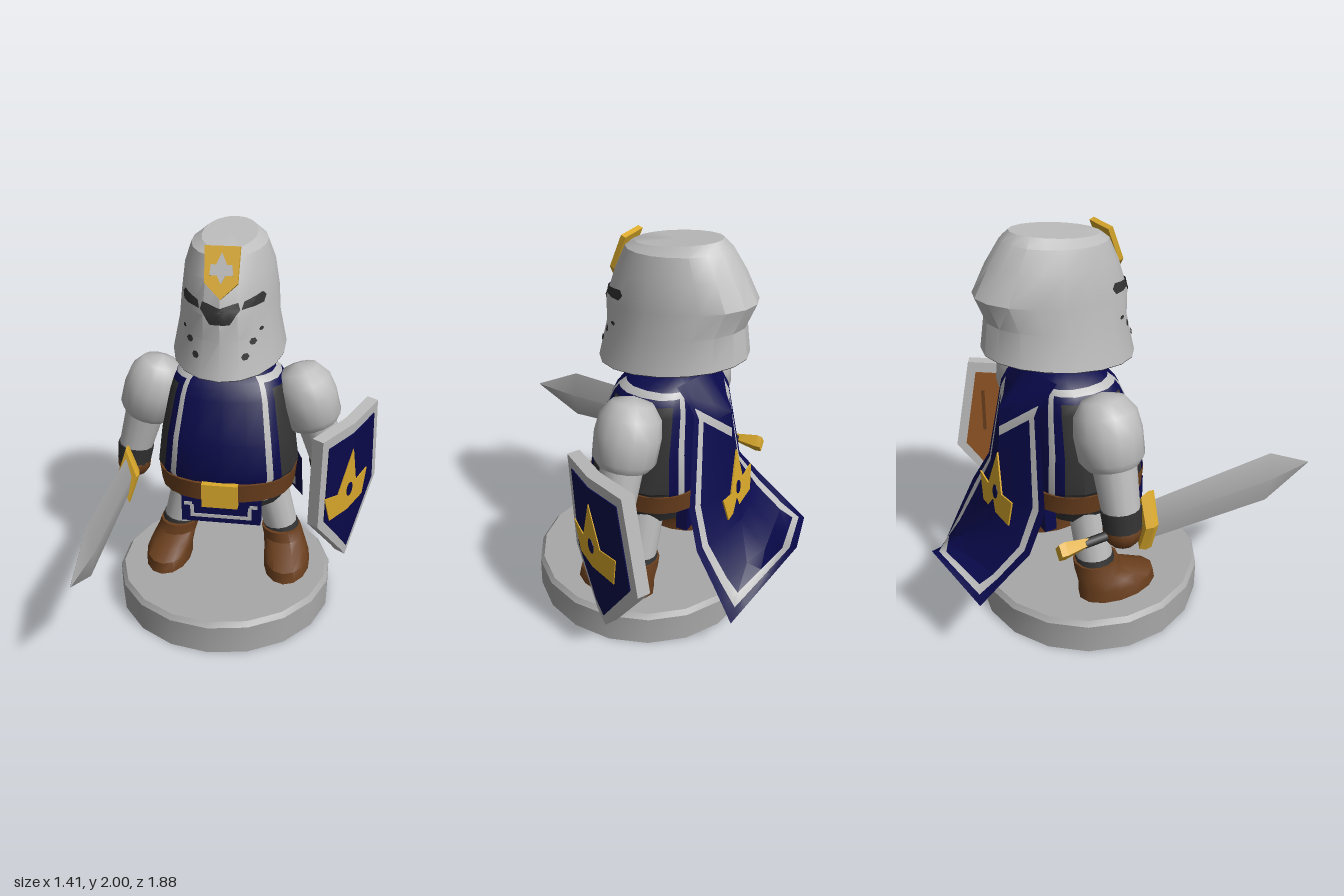
import * as THREE from 'three';
import { toCreasedNormals } from 'three/addons/utils/BufferGeometryUtils.js';

const CX = -0.085; // centre line of the figure
const V = (x, y, z) => new THREE.Vector3(x, y, z);

function paint(name, color) {
  const m = new THREE.MeshStandardMaterial({ color, side: THREE.DoubleSide });
  m.name = name;
  return m;
}

// Skin rings of points; pick(row, column) returns a material index per cell.
function loft(rings, { closed = true, caps = true, pick = () => 0, crease = 0.6 } = {}) {
  const n = rings[0].length, pos = [], byMat = [];
  const put = (m, ...ids) => (byMat[m] ??= []).push(...ids);
  rings.flat().forEach((p) => pos.push(p.x, p.y, p.z));
  for (let i = 0; i < rings.length - 1; i++) {
    for (let j = 0; j < (closed ? n : n - 1); j++) {
      const k = (j + 1) % n, a = i * n + j, b = i * n + k, c = a + n, d = b + n;
      put(pick(i, j), a, b, d, a, d, c);
    }
  }
  if (closed && caps) {
    [[0, true], [rings.length - 1, false]].forEach(([r, down]) => {
      const c = rings[r].reduce((s, p) => s.add(p), V(0, 0, 0)).divideScalar(n);
      const id = pos.length / 3;
      pos.push(c.x, c.y, c.z);
      for (let j = 0; j < n; j++) {
        const a = r * n + j, b = r * n + (j + 1) % n;
        put(pick(r, j), id, down ? b : a, down ? a : b);
      }
    });
  }
  const g = new THREE.BufferGeometry();
  g.setAttribute('position', new THREE.Float32BufferAttribute(pos, 3));
  const index = [];
  byMat.forEach((list, m) => { g.addGroup(index.length, list.length, m); index.push(...list); });
  g.setIndex(index);
  return toCreasedNormals(g, crease);
}

// Oval ring at height y, angles from the front towards +x; power below 1 makes it boxier.
const evenAngles = (n) => Array.from({ length: n }, (_, i) => (i / n) * 360);
const oval = (angles, cx, y, cz, rx, rz, tilt = 0, power = 1) => angles.map((d) => {
  const t = THREE.MathUtils.degToRad(d), bend = (v) => Math.sign(v) * Math.abs(v) ** power;
  return V(cx + rx * bend(Math.sin(t)), y + tilt * Math.cos(t), cz + rz * bend(Math.cos(t)));
});

const polygon = (pts) => new THREE.Shape(pts.map(([x, y]) => new THREE.Vector2(x, y)));
const plate = (shape, depth) => new THREE.ExtrudeGeometry(shape, { depth, bevelEnabled: false, curveSegments: 6 });
const scaled = (pts, kx, ky, cx = 0, cy = 0) => pts.map(([x, y]) => [cx + (x - cx) * kx, cy + (y - cy) * ky]);
const CROWN = [[-0.14, -0.135], [0.165, -0.115], [0.19, 0.04], [0.07, 0.02], [0, 0.24], [-0.09, 0], [-0.195, 0.02]];
const gem = (k) => new THREE.Shape().absellipse(0, 0, 0.027 * k, 0.042 * k, 0, Math.PI * 2);

// Part of a polygon on one side of x = 0
const halfOf = (pts, s) => pts.flatMap(([x, y], i) => {
  const [u, v] = pts[(i + 1) % pts.length], out = x * s >= 0 ? [[x, y]] : [];
  if (x * u < 0) out.push([0, y + (v - y) * x / (x - u)]);
  return out;
});

export function createModel() {
  const model = new THREE.Group();
  model.name = 'knightFigure';
  const steel = paint('steel', 0xbcbcbc), stone = paint('stone', 0xa8a8a8), navy = paint('navy', 0x09094c),
    gold = paint('gold', 0xdbaa2c), leather = paint('leather', 0x693e1d), wood = paint('wood', 0x8f5424),
    mail = paint('darkMail', 0x333333);

  const add = (name, geo, mat, parent = model) => {
    const m = new THREE.Mesh(geo, mat);
    m.name = name;
    parent.add(m);
    return m;
  };
  const box = (name, mat, w, h, d, x, y, z, parent) => {
    const m = add(name, new THREE.BoxGeometry(w, h, d), mat, parent);
    m.position.set(x, y, z);
    return m;
  };
  // Tapered cylinder from p (radius r1) up to q (radius r2)
  const rod = (name, mat, p, q, r1, r2, sides = 14) => {
    const m = add(name, new THREE.CylinderGeometry(r2, r1, p.distanceTo(q), sides), mat);
    m.position.copy(p).lerp(q, 0.5);
    m.quaternion.setFromUnitVectors(V(0, 1, 0), q.clone().sub(p).normalize());
    return m;
  };

  // Base disc
  const a18 = evenAngles(18);
  add('base', loft([[0, 0.58], [0.155, 0.58], [0.18, 0.56]].map(([y, r]) => oval(a18, -0.097, y, -0.08, r, r))), stone);

  // Torso: mail sides under a navy tabard whose pale stripes run over the shoulders
  const quarter = [0, 17, 34, 41, 51, 70];
  const half = [...quarter, 90, ...quarter.slice(1).reverse().map((a) => 180 - a)];
  const angles = [...half, ...half.map((a) => a + 180)];
  const kinds = [0, 0, 1, 0, 2, 2, 2, 2, 0, 1, 0, 0];
  const tabard = (row, col) => {
    if (row < 5) return kinds[col];
    if (row === 5) return kinds[col] % 2;
    return row === 6 && col > 1 && col < 10 ? 1 : 0;
  };
  const torso = [[0.67, 0.33, 0.28, -0.16], [0.785, 0.355, 0.3, -0.16], [0.81, 0.37, 0.305, -0.16], [1.0, 0.345, 0.285, -0.16],
    [1.2, 0.305, 0.235, -0.19], [1.25, 0.288, 0.218, -0.195], [1.28, 0.27, 0.2, -0.2], [1.305, 0.238, 0.18, -0.21],
    [1.33, 0.2, 0.16, -0.22], [1.36, 0.13, 0.11, -0.22]];
  add('torso', loft(torso.map(([y, rx, rz, cz]) => oval(angles, CX, y, cz, rx, rz, 0, 0.78)),
    { pick: (i, j) => tabard(i, j % 12) }), [navy, steel, mail]);
  add('mailSkirt', loft([[0.58, 0.29, 0.22], [0.69, 0.335, 0.275]].map(([y, rx, rz]) => oval(a18, CX, y, -0.17, rx, rz))), mail);

  // Belt and buckle
  add('belt', loft([[0.69, 0.355, 0.312], [0.79, 0.366, 0.32]].map(([y, rx, rz]) =>
    oval(evenAngles(24), CX, y, -0.16, rx, rz, 0, 0.82))), leather);
  box('buckle', gold, 0.185, 0.13, 0.04, CX, 0.728, 0.152);

  // Hanging tabard flaps, the front one with a pale trim
  box('backFlap', navy, 0.41, 0.14, 0.06, CX, 0.62, -0.4);
  box('frontFlap', navy, 0.41, 0.14, 0.06, CX, 0.62, 0.1);
  box('flapTrim', steel, 0.3, 0.018, 0.006, CX, 0.588, 0.132);
  [-1, 1].forEach((k) => {
    box('flapTrim', steel, 0.018, 0.07, 0.006, CX + k * 0.15, 0.614, 0.132);
    box('flapTrim', steel, 0.04, 0.018, 0.006, CX + k * 0.17, 0.655, 0.132);
  });

  // Legs, boots and arms on both sides
  const a14 = evenAngles(14);
  const shoulder = [[0.12, -0.18], [0.152, -0.14], [0.158, -0.02], [0.145, 0.07], [0.1, 0.135], [0, 0.165]];
  [-1, 1].forEach((s) => {
    const side = s > 0 ? 'left' : 'right';
    const P = (x, y, z = -0.2) => V(CX + s * x, y, z);
    rod(side + 'Leg', steel, P(0.285, 0.36), P(0.2, 0.68), 0.09, 0.1);
    rod(side + 'BootCuff', mail, P(0.285, 0.355), P(0.281, 0.382), 0.1, 0.096);
    const boot = [[0.18, 0.33, 0.125, -0.095, 0.215], [0.24, 0.327, 0.122, -0.1, 0.21], [0.275, 0.315, 0.115, -0.145, 0.165],
      [0.31, 0.3, 0.11, -0.19, 0.12], [0.365, 0.285, 0.107, -0.195, 0.115]];
    add(side + 'Boot', loft(boot.map(([y, x, rx, z, rz]) => oval(a14, CX + s * x, y, z, rx, rz)), { crease: 0.9 }), leather);

    const pad = add(side + 'ShoulderPlate',
      toCreasedNormals(new THREE.LatheGeometry(shoulder.map(([r, y]) => new THREE.Vector2(r, y)), 14), 0.9), steel);
    pad.position.copy(P(0.395, 1.17));
    pad.rotation.z = s * 0.3;
    rod(side + 'Arm', steel, P(0.52, 0.8), P(0.425, 1.12), 0.09, 0.11);
    rod(side + 'Cuff', mail, P(0.535, 0.71), P(0.518, 0.81), 0.09, 0.097);
    const hand = add(side + 'Hand', new THREE.SphereGeometry(0.092, 12, 8), leather);
    hand.position.copy(P(0.535, 0.7));
  });

  // Neck and tilted helmet: front z, front y, back z, back y, half width
  rod('neck', mail, V(CX, 1.32, -0.21), V(CX, 1.46, -0.22), 0.13, 0.19);
  const shell = [[0.15, 1.355, -0.6, 1.46, 0.285], [0.11, 1.54, -0.58, 1.61, 0.25], [0.115, 1.66, -0.63, 1.735, 0.24],
    [0.065, 1.82, -0.56, 1.86, 0.22], [0.02, 1.92, -0.49, 1.96, 0.185], [-0.02, 1.945, -0.45, 2.0, 0.135]];
  const helmet = add('helmet', loft(shell.map(([fz, fy, bz, by, w]) =>
    oval(a18, CX, (fy + by) / 2, (fz + bz) / 2, w, (fz - bz) / 2, (fy - by) / 2)), { crease: 0.45 }), steel);
  add('helmetUnderside', loft([oval(a18, CX, 1.335, -0.21, 0.13, 0.13), oval(a18, CX, 1.404, -0.225, 0.284, 0.374, -0.0525)],
    { caps: false }), mail);

  // Thin dark faces laid onto the helmet front
  const caster = new THREE.Raycaster();
  const onHelmet = (x, y) => {
    caster.set(V(CX + x, y, 2), V(0, 0, -1));
    const hit = caster.intersectObject(helmet)[0];
    return hit.point.addScaledVector(hit.face.normal, 0.008);
  };
  const decal = (name, pts) => {
    const [cx, cy] = [0, 1].map((k) => pts.reduce((t, p) => t + p[k], 0) / pts.length);
    const fine = pts.flatMap(([x, y], i) => {
      const [u, v] = pts[(i + 1) % pts.length];
      return [0, 0.33, 0.67].map((t) => [x + (u - x) * t, y + (v - y) * t]);
    });
    add(name, loft([1, 0.66, 0.33, 0.02].map((k) => scaled(fine, k, k, cx, cy).map(([x, y]) => onHelmet(x, y))),
      { caps: false }), mail);
  };
  decal('visorGap', [[-0.045, 1.625], [0.045, 1.625], [0.09, 1.69], [0.08, 1.725], [0, 1.7], [-0.08, 1.725], [-0.09, 1.69]]);
  [-1, 1].forEach((s) => {
    const flip = (pts) => (s > 0 ? pts : pts.map(([x, y]) => [-x, y]).reverse());
    decal('eyeSlit', flip([[0.095, 1.69], [0.185, 1.7], [0.193, 1.73], [0.178, 1.75], [0.105, 1.725]]));
    [[0.147, 1.53, 0.017], [0.115, 1.465, 0.018], [0.178, 1.58, 0.01]].forEach(([x, y, r]) =>
      decal('breathHole', flip(evenAngles(6).map((d) => {
        const t = THREE.MathUtils.degToRad(d);
        return [x + r * Math.cos(t), y + r * Math.sin(t)];
      }))));
  });

  // Gold brow badge with a small pale ornament
  const badge = new THREE.Group();
  badge.name = 'browBadge';
  badge.position.set(-0.082, 1.855, 0.03);
  badge.rotation.x = -0.37;
  model.add(badge);
  add('badgePlate', plate(polygon([[0, -0.13], [0.078, -0.055], [0.083, 0.115], [-0.083, 0.115], [-0.078, -0.055]]), 0.025), gold, badge);
  add('badgeOrnament', plate(polygon([[0, -0.06], [0.02, -0.02], [0.055, -0.02], [0.05, 0.03], [0.025, 0.03], [0, 0.085],
    [-0.025, 0.03], [-0.05, 0.03], [-0.055, -0.02], [-0.02, -0.02]]), 0.005), steel, badge).position.z = 0.025;

  // Cape: left, middle and right points of each row, from the collar fold down
  const rows = [
    [V(-0.27, 1.33, -0.34), V(CX, 1.34, -0.4), V(0.1, 1.33, -0.34)],
    [V(-0.275, 1.3, -0.37), V(CX, 1.17, -0.55), V(0.105, 1.3, -0.37)],
    [V(-0.28, 1.26, -0.41), V(CX, 1.08, -0.552), V(0.11, 1.26, -0.41)],
    [V(-0.285, 1.21, -0.44), V(CX, 1.03, -0.556), V(0.115, 1.21, -0.44)],
    [V(-0.4, 0.75, -0.485), V(CX, 0.75, -0.59), V(0.22, 0.75, -0.485)],
    [V(-0.46, 0.6, -0.6), V(CX, 0.56, -0.64), V(0.28, 0.58, -0.56)],
    [V(-0.46, 0.5, -0.74), V(CX, 0.43, -0.78), V(0.28, 0.4, -0.66)],
    [V(-0.46, 0.41, -0.86), V(CX, 0.5, -0.94), V(0.28, 0.21, -0.76)]];
  const blend = (t) => rows[6].map((p, i) => p.clone().lerp(rows[7][i], t));
  rows.splice(7, 0, blend(0.55), blend(0.78));
  const cols = [-1, -0.88, -0.76, -0.37, 0, 0.37, 0.76, 0.88, 1];
  const cape = rows.map(([l, m, r]) => cols.map((c) => m.clone().lerp(c < 0 ? l : r, Math.abs(c))));
  const capeStripe = (i, j) => (i === 2 || i === 7 ? j > 0 && j < 7 : i > 2 && i < 7 && (j === 1 || j === 6));
  add('cape', loft(cape, { closed: false, pick: (i, j) => (capeStripe(i, j) ? 1 : 0) }), [navy, steel]);
  const capeBadge = new THREE.Group();
  capeBadge.name = 'capeBadge';
  capeBadge.position.set(-0.105, 0.74, -0.593);
  capeBadge.lookAt(-0.105, 0.84, -1.593);
  model.add(capeBadge);
  add('capeCrown', plate(polygon(scaled(CROWN, 0.92, 0.9)), 0.008), gold, capeBadge);
  add('capeCrownGem', plate(gem(0.9), 0.003), navy, capeBadge).position.z = 0.008;

  // Shield bent along its middle: pale rim, navy front with crown, wooden back
  const shield = new THREE.Group();
  shield.name = 'shield';
  shield.position.set(0.555, 0.65, -0.144);
  shield.rotation.set(0.05, 1.035, 0, 'YXZ');
  model.add(shield);
  const shieldPart = (name, pts, depth, mat, z) => [-1, 1].forEach((s) => {
    const g = plate(polygon(halfOf(pts, s)), depth), p = g.attributes.position;
    for (let i = 0; i < p.count; i++) p.setZ(i, p.getZ(i) + z - 0.1 * Math.abs(p.getX(i)));
    g.computeVertexNormals();
    add(name, g, mat, shield);
  });
  const outline = [[0.06, -0.47], [0.35, -0.08], [0.26, 0.42], [-0.25, 0.37], [-0.23, -0.15]];
  const inset = scaled(outline, 0.83, 0.86, 0.04, -0.01);
  shieldPart('shieldRim', outline, 0.065, steel, -0.065);
  shieldPart('shieldFront', inset, 0.005, navy, 0);
  shieldPart('shieldCrown', scaled(CROWN, 1.05, 1.02), 0.005, gold, 0.005);
  shieldPart('shieldBack', inset, 0.005, wood, -0.07);
  add('shieldGem', plate(gem(1), 0.003), navy, shield).position.z = 0.009;
  [[-0.1, 0.15, 0.2], [0.07, -0.15, 0.22], [0.19, 0.13, 0.24], [-0.02, 0.25, 0.1], [0.12, 0.02, 0.1], [-0.07, -0.12, 0.1]]
    .forEach(([x, y, h]) => box('plankGap', leather, 0.018, h, 0.006, x, y, -0.071 - 0.1 * Math.abs(x), shield));

  // Sword pointing forward: diamond cross-sections along z
  const SX = -0.617, SY = 0.69;
  const diamonds = (list, crease) => loft(list.map(([z, w, h]) =>
    [V(SX + w, SY, z), V(SX, SY + h, z), V(SX - w, SY, z), V(SX, SY - h, z)]), { crease });
  add('swordBlade', diamonds([[-0.05, 0.022, 0.11], [0.67, 0.03, 0.14], [0.94, 0.002, 0.003]], 0.6), stone);
  add('swordGuard', diamonds([[-0.1, 0.05, 0.15], [-0.06, 0.06, 0.17], [-0.03, 0.05, 0.165]], 0.2), gold);
  rod('swordGrip', mail, V(SX, SY, -0.4), V(SX, SY, -0.08), 0.022, 0.022, 8);
  add('swordPommel', diamonds([[-0.53, 0.034, 0.045], [-0.5, 0.036, 0.05], [-0.38, 0.02, 0.025]], 0.2), gold);

  return model;
}
